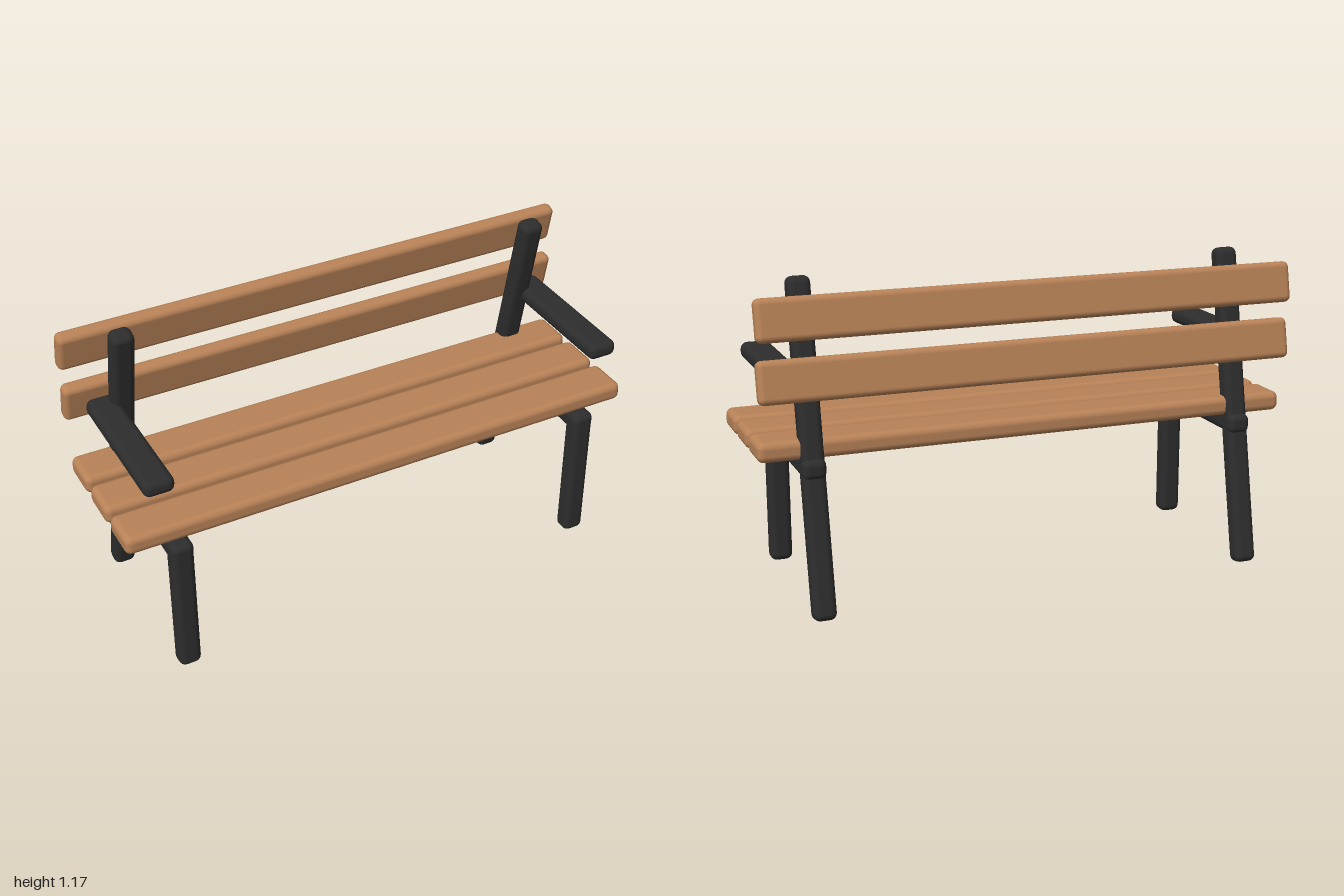
import * as THREE from 'three';
import { RoundedBoxGeometry } from 'three/addons/geometries/RoundedBoxGeometry.js';

const TILT = 0.2; // lean shared by the rear posts and the back slats

export function createModel() {
  const bench = new THREE.Group();
  bench.name = 'bench';
  const wood = new THREE.MeshStandardMaterial({ color: 0xb88257 });
  wood.name = 'wood';
  const iron = new THREE.MeshStandardMaterial({ color: 0x2d2d2d });
  iron.name = 'dark iron';

  // Softly rounded bar, optionally leaning about x
  function bar(parent, name, material, size, position, radius, tilt = 0) {
    const mesh = new THREE.Mesh(new RoundedBoxGeometry(...size, 3, radius), material);
    mesh.name = name;
    mesh.position.set(...position);
    mesh.rotation.x = tilt;
    parent.add(mesh);
  }

  // Side frames: front leg, seat rail, leaning rear post and armrest
  for (const side of [1, -1]) {
    const frame = new THREE.Group();
    frame.name = side > 0 ? 'leftFrame' : 'rightFrame';
    const x = side * 0.813;
    bar(frame, 'frontLeg', iron, [0.083, 0.55, 0.073], [x, 0.288, 0.32], 0.025);
    bar(frame, 'seatRail', iron, [0.084, 0.073, 0.626], [x, 0.526, 0.044], 0.025);
    bar(frame, 'rearPost', iron, [0.083, 1.185, 0.073], [x, 0.587, -0.206], 0.025, TILT);
    bar(frame, 'armrest', iron, [0.112, 0.062, 0.562], [side * 0.874, 0.827, 0.069], 0.026);
    bench.add(frame);
  }

  // Seat slats
  for (const z of [0.233, 0.045, -0.144]) {
    bar(bench, 'seatSlat', wood, [2, 0.072, 0.162], [0, 0.59, z], 0.025);
  }

  // Back slats
  for (const y of [0.842, 1.053]) {
    bar(bench, 'backSlat', wood, [2, 0.15, 0.058], [0, y, -0.244], 0.022, TILT);
  }

  return bench;
}
